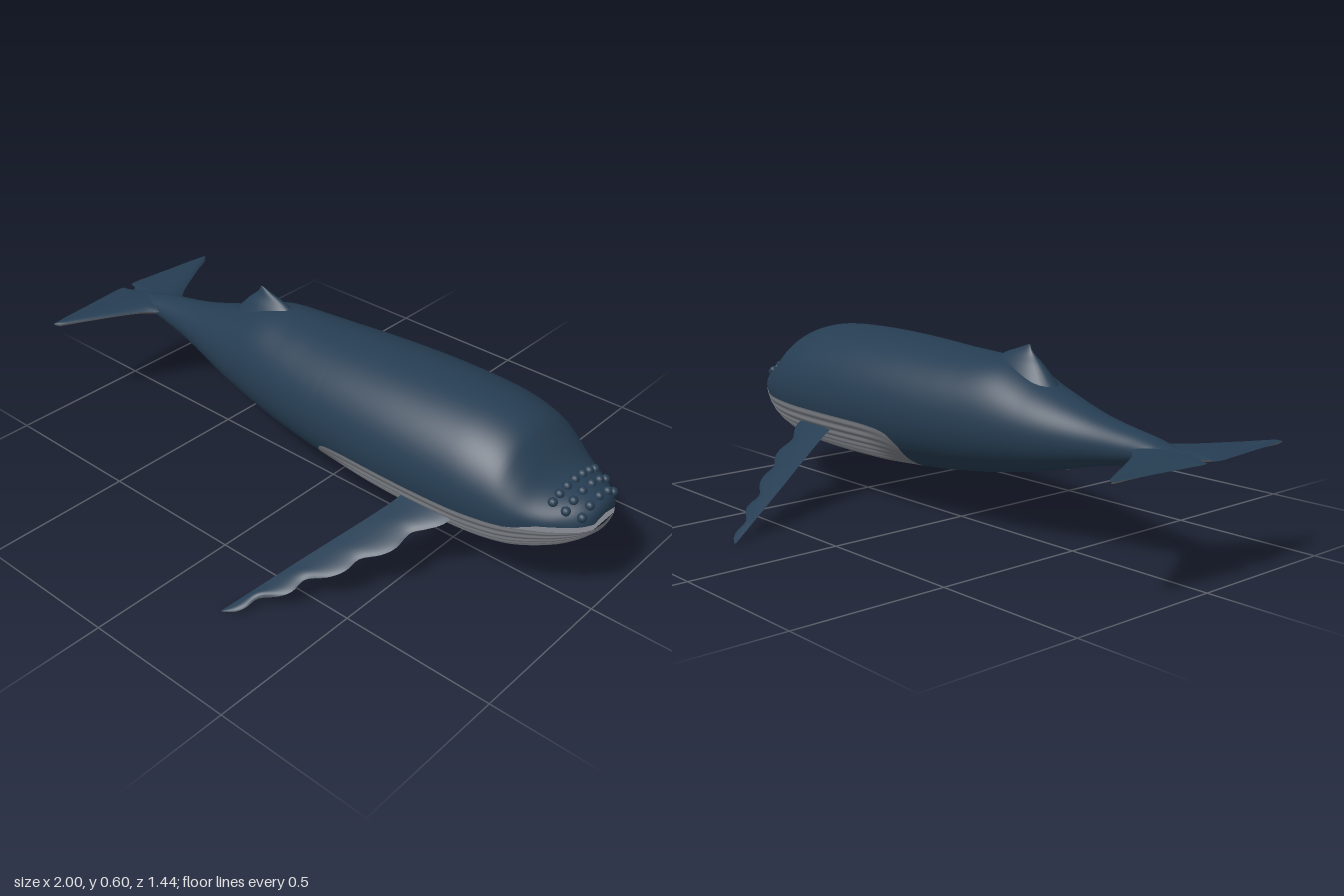
import * as THREE from 'three';

// Smooth curve through [x, y] points, evaluated at any x
function curve(p) {
  const slope = (i) => {
    const a = p[Math.max(i - 1, 0)], b = p[Math.min(i + 1, p.length - 1)];
    return (b[1] - a[1]) / (b[0] - a[0]);
  };
  return (x) => {
    let i = 0;
    while (i < p.length - 2 && x > p[i + 1][0]) i++;
    const d = p[i + 1][0] - p[i][0];
    const t = Math.min(Math.max((x - p[i][0]) / d, 0), 1), t2 = t * t, t3 = t2 * t;
    return (2 * t3 - 3 * t2 + 1) * p[i][1] + (t3 - 2 * t2 + t) * d * slope(i)
      + (3 * t2 - 2 * t3) * p[i + 1][1] + (t3 - t2) * d * slope(i + 1);
  };
}

// Surface grid from a rule fn(i, j) -> [x, y, z]
function grid(rows, cols, fn, flip = false) {
  const pos = [], idx = [];
  for (let i = 0; i <= rows; i++) for (let j = 0; j <= cols; j++) pos.push(...fn(i, j));
  for (let i = 0; i < rows; i++) {
    for (let j = 0; j < cols; j++) {
      const a = i * (cols + 1) + j, b = a + cols + 1;
      if (flip) idx.push(a, b + 1, b, a, a + 1, b + 1);
      else idx.push(a, b, b + 1, a, b + 1, a + 1);
    }
  }
  const g = new THREE.BufferGeometry();
  g.setAttribute('position', new THREE.Float32BufferAttribute(pos, 3));
  g.setIndex(idx);
  g.computeVertexNormals();
  return g;
}

// Body profile along its length
const top = curve([[-0.95, 0.37], [-0.85, 0.387], [-0.8, 0.4], [-0.6, 0.437], [-0.4, 0.497], [-0.25, 0.553],
  [-0.1, 0.563], [0, 0.567], [0.2, 0.579], [0.4, 0.585], [0.6, 0.58], [0.7, 0.562], [0.76, 0.535], [0.8, 0.493],
  [0.85, 0.441], [0.9, 0.418], [0.96, 0.408], [1, 0.388]]);
const bottom = curve([[-0.95, 0.358], [-0.85, 0.338], [-0.8, 0.326], [-0.6, 0.285], [-0.4, 0.235], [-0.2, 0.195],
  [0, 0.168], [0.2, 0.152], [0.4, 0.146], [0.6, 0.148], [0.7, 0.157], [0.8, 0.18], [0.9, 0.223], [0.96, 0.265], [1, 0.305]]);
const middle = curve([[-0.95, 0.364], [-0.6, 0.36], [-0.2, 0.368], [0.2, 0.366], [0.6, 0.36], [0.8, 0.346], [1, 0.335]]);
const width = curve([[-0.95, 0.012], [-0.85, 0.045], [-0.74, 0.058], [-0.6, 0.083], [-0.4, 0.137], [-0.2, 0.18],
  [0, 0.21], [0.2, 0.228], [0.4, 0.237], [0.6, 0.235], [0.7, 0.226], [0.8, 0.203], [0.9, 0.152], [0.96, 0.108], [0.985, 0.083], [1, 0.055]]);
const mouthLine = curve([[0.1, 0.245], [0.115, 0.272], [0.14, 0.292], [0.2, 0.304], [0.3, 0.31], [0.6, 0.315], [0.8, 0.322], [1, 0.328]]);
const gap = (x) => 0.018 * THREE.MathUtils.smoothstep(x, 0.8, 0.9);

// Point on the body skin at angle a around the section
function skin(x, a, s = 1) {
  const m = middle(x), sn = Math.sin(a);
  const h = sn > 0 ? top(x) - m : m - bottom(x);
  return [x, m + h * sn * s, width(x) * Math.cos(a) * s];
}

// Section angle of a jaw's edge
function edge(x, upper) {
  const xs = Math.max(x, 0.1), m = middle(xs);
  const d = mouthLine(xs) + (upper ? gap(xs) : 0) - m;
  return Math.asin(d / (d > 0 ? top(xs) - m : m - bottom(xs)));
}

const STEP = 0.0125, ROWS = 156, PANEL_ROW = 84;
const UPPER_COLS = 64, LOWER_COLS = 144, PLEATS = 18;

function half(upper) {
  const cols = upper ? UPPER_COLS : LOWER_COLS;
  return grid(ROWS + 1, cols, (i, j) => {
    const x = -0.95 + Math.min(i, ROWS) * STEP;
    // the last row closes the snout
    if (i > ROWS) return [1, upper ? 0.355 : 0.32, 0];
    const e = edge(x, upper), t = j / cols;
    if (upper) return skin(x, e + (Math.PI - 2 * e) * t);
    const fade = THREE.MathUtils.smoothstep(x, 0.1, 0.3) * Math.sqrt(Math.max(Math.sin(Math.PI * t), 0));
    const s = 1 - 0.022 * fade * (1 + Math.cos(2 * Math.PI * PLEATS * t)) + 0.012 * fade;
    return skin(x, -Math.PI - e + (Math.PI + 2 * e) * t, s);
  });
}

// Flat inner face of a jaw
function jawLid(upper) {
  return grid(20, 1, (i, j) => {
    const p = skin(0.78 + i * 0.011, edge(0.78 + i * 0.011, upper));
    return [p[0], p[1], j ? -p[2] : p[2]];
  }, upper);
}

// Blade surface between a leading and a trailing edge; face = 1 top, -1 underside
function blade(side, face, b) {
  const rows = 60, cols = 14;
  return grid(rows, cols, (i, j) => {
    const z = b.root + (b.tip - b.root) * i / rows, c = j / cols;
    const lead = b.lead(z), trail = b.trail(z);
    const h = b.thick(z) * Math.sin(Math.PI * Math.pow(c, 0.7));
    return [lead + (trail - lead) * c, b.height(z) + h * (face > 0 ? 0.35 : -0.65), z * side];
  }, side * face > 0);
}

const flipper = {
  root: 0.16, tip: 0.72,
  lead: curve([[0.16, 0.64], [0.22, 0.615], [0.25, 0.585], [0.28, 0.55], [0.34, 0.54], [0.375, 0.515], [0.41, 0.47],
    [0.46, 0.455], [0.495, 0.425], [0.53, 0.37], [0.58, 0.358], [0.605, 0.335], [0.635, 0.285], [0.68, 0.268], [0.705, 0.245], [0.72, 0.212]]),
  trail: curve([[0.16, 0.455], [0.24, 0.43], [0.5, 0.31], [0.72, 0.21]]),
  thick: curve([[0.16, 0.034], [0.4, 0.024], [0.68, 0.016], [0.72, 0.004]]),
  height: (z) => 0.252 - 0.465 * (z - 0.2),
};
const fluke = {
  root: 0, tip: 0.355,
  lead: curve([[0, -0.72], [0.055, -0.765], [0.08, -0.793], [0.12, -0.823], [0.2, -0.87], [0.3, -0.925], [0.335, -0.945], [0.355, -0.965]]),
  trail: curve([[0, -0.962], [0.01, -0.966], [0.018, -0.998], [0.1, -0.996], [0.2, -0.986], [0.3, -0.977], [0.355, -0.968]]),
  thick: curve([[0, 0.045], [0.1, 0.034], [0.25, 0.022], [0.34, 0.014], [0.355, 0.004]]),
  height: () => 0.367,
};

export function createModel() {
  const model = new THREE.Group();
  model.name = 'whale';
  const navy = new THREE.MeshStandardMaterial({ color: 0x263d52 });
  navy.name = 'navy skin';
  const grey = new THREE.MeshStandardMaterial({ color: 0x7c8086 });
  grey.name = 'pale grey skin';
  const add = (name, geometry, material, parent = model) => {
    const mesh = new THREE.Mesh(geometry, material);
    mesh.name = name;
    parent.add(mesh);
    return mesh;
  };

  // Body: dark back, and an underside that turns grey at the pleated throat
  add('back', half(true), navy);
  const under = half(false);
  const split = PANEL_ROW * LOWER_COLS * 6;
  under.addGroup(0, split, 0);
  under.addGroup(split, under.index.count - split, 1);
  add('bellyAndThroat', under, [navy, grey]);
  add('mouthRoof', jawLid(true), navy);
  add('mouthFloor', jawLid(false), grey);

  // Flippers and tail flukes, dark above and pale below
  for (const [side, label] of [[1, 'left'], [-1, 'right']]) {
    for (const [name, shape] of [['Flipper', flipper], ['Fluke', fluke]]) {
      const part = new THREE.Group();
      part.name = label + name;
      add('upperSide', blade(side, 1, shape), navy, part);
      add('underside', blade(side, -1, shape), grey, part);
      model.add(part);
    }
  }

  // Dorsal fin: rings of [height, front x, rear x, half width]
  const front = curve([[0.48, -0.12], [0.55, -0.17], [0.575, -0.215], [0.59, -0.262], [0.605, -0.305]]);
  const rear = curve([[0.48, -0.43], [0.55, -0.362], [0.575, -0.332], [0.59, -0.318], [0.605, -0.312]]);
  const thick = curve([[0.48, 0.075], [0.55, 0.036], [0.575, 0.016], [0.59, 0.008], [0.605, 0.001]]);
  add('dorsalFin', grid(16, 32, (i, j) => {
    const y = 0.48 + 0.125 * i / 16, a = j / 32 * Math.PI * 2;
    const f = front(y), r = rear(y);
    return [(f + r) / 2 + (f - r) / 2 * Math.cos(a), y, thick(y) * Math.sin(a)];
  }), navy);

  // Knobs on the upper jaw
  const knobs = new THREE.Group();
  knobs.name = 'snoutKnobs';
  for (const [x, count, spread] of [[0.895, 7, 0.75], [0.935, 6, 0.9], [0.975, 5, 1.0]]) {
    for (let k = 0; k < count; k++) {
      const a = Math.PI / 2 + spread * (2 * k / (count - 1) - 1);
      const knob = add('knob', new THREE.SphereGeometry(0.014, 12, 8), navy, knobs);
      knob.position.set(...skin(x, a));
    }
  }
  model.add(knobs);
  return model;
}
